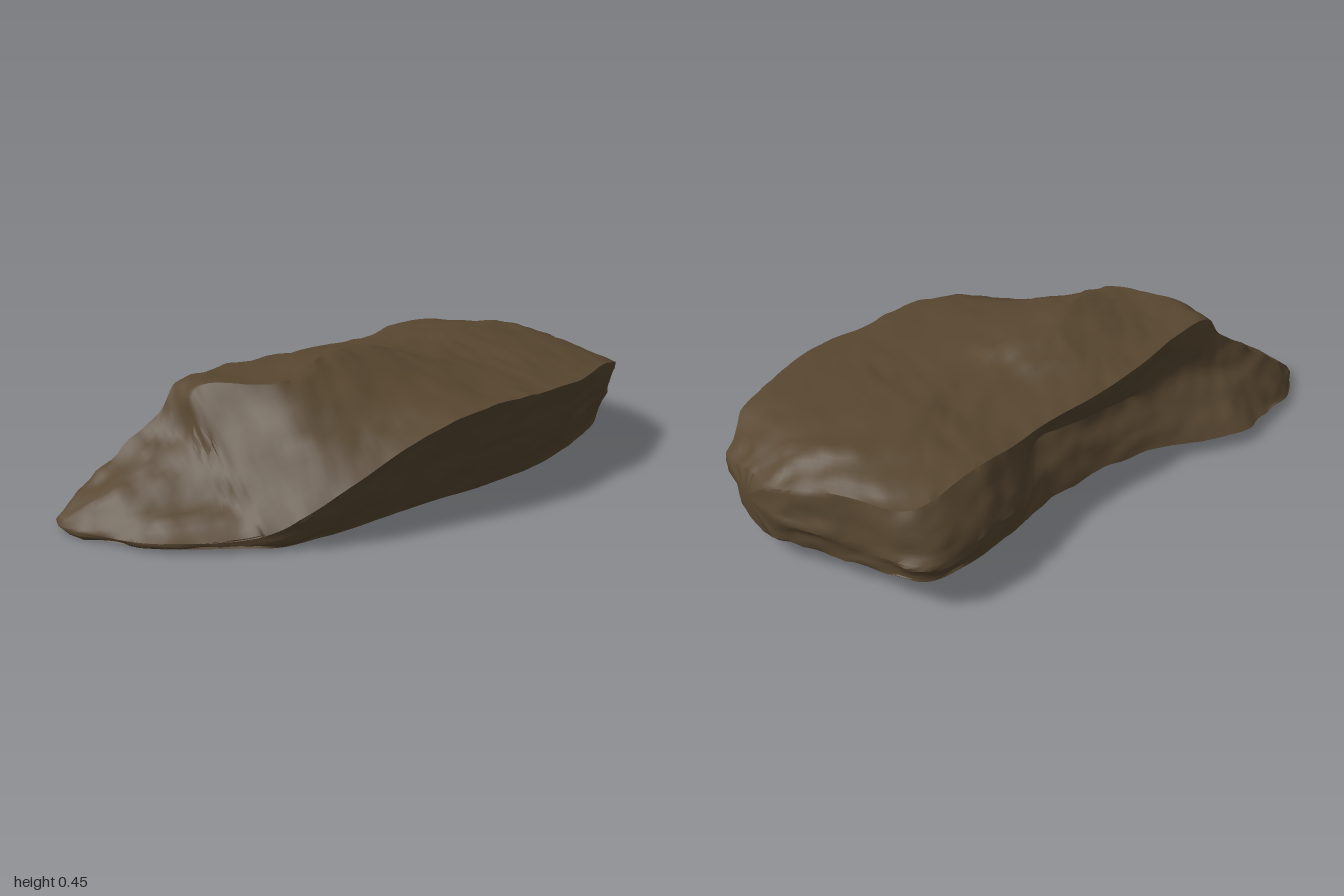
import * as THREE from 'three';
import { toCreasedNormals } from 'three/addons/utils/BufferGeometryUtils.js';

// Stations along the rock, front to back
const STATIONS = [0.98, 0.86, 0.65, 0.56, 0.4, 0.2, 0, -0.2, -0.36, -0.52, -0.74, -0.86, -0.97];

// Lengthwise edges of the rock: x, y at each station
const BASE_LEFT = [
  [-0.27, 0.015], [-0.37, 0.03], [-0.43, 0.045], [-0.45, 0.05], [-0.41, 0.05], [-0.35, 0.06], [-0.34, 0.06],
  [-0.36, 0.07], [-0.43, 0.09], [-0.49, 0.11], [-0.5, 0.11], [-0.25, 0.08], [-0.04, 0.09]];
const WALL_LEFT = [
  [-0.27, 0.03], [-0.33, 0.07], [-0.3, 0.17], [-0.28, 0.2], [-0.265, 0.22], [-0.26, 0.22], [-0.26, 0.22],
  [-0.28, 0.22], [-0.44, 0.18], [-0.5, 0.19], [-0.51, 0.17], [-0.27, 0.15], [-0.06, 0.17]];
const RIDGE_LEFT = [
  [-0.25, 0.045], [-0.26, 0.13], [-0.235, 0.29], [-0.235, 0.375], [-0.265, 0.39], [-0.305, 0.365], [-0.33, 0.345],
  [-0.34, 0.33], [-0.37, 0.325], [-0.4, 0.33], [-0.42, 0.31], [-0.2, 0.29], [0, 0.24]];
const CREST = [
  [-0.22, 0.045], [-0.13, 0.125], [-0.05, 0.22], [-0.12, 0.39], [0.08, 0.42], [0.03, 0.45], [-0.03, 0.435],
  [0, 0.385], [-0.02, 0.37], [-0.1, 0.37], [-0.1, 0.355], [0.03, 0.325], [0.1, 0.25]];
const RIM_RIGHT = [
  [-0.18, 0.025], [0.07, 0.035], [0.26, 0.055], [0.32, 0.085], [0.405, 0.19], [0.455, 0.29], [0.49, 0.34],
  [0.5, 0.345], [0.485, 0.335], [0.475, 0.33], [0.39, 0.315], [0.34, 0.28], [0.24, 0.21]];
const BASE_RIGHT = [
  [-0.19, 0.01], [0.04, 0.01], [0.22, 0.005], [0.28, 0.005], [0.32, 0.01], [0.34, 0.015], [0.35, 0.02],
  [0.36, 0.01], [0.36, 0.01], [0.35, 0.01], [0.31, 0.03], [0.27, 0.04], [0.2, 0.06]];

const ALONG = 120;
const PER_EDGE = 9;

// Seeded smooth value noise in -1..1
function hash(x, y, z) {
  const s = Math.sin(x * 127.1 + y * 311.7 + z * 74.7) * 43758.5453;
  return (s - Math.floor(s)) * 2 - 1;
}
function noise(x, y, z) {
  const cell = [x, y, z].map(Math.floor);
  const [u, v, w] = [x, y, z].map((p, i) => THREE.MathUtils.smoothstep(p - cell[i], 0, 1));
  let sum = 0;
  for (let i = 0; i < 8; i++) {
    const [a, b, c] = [i & 1, (i >> 1) & 1, i >> 2];
    sum += hash(cell[0] + a, cell[1] + b, cell[2] + c)
      * (a ? u : 1 - u) * (b ? v : 1 - v) * (c ? w : 1 - w);
  }
  return sum;
}

// Smooth rails in order around the section
function makeRails() {
  // Undercut right flank and the low line of the underside follow their neighbours
  const flank = RIM_RIGHT.map(([x, y], i) => [
    THREE.MathUtils.lerp(x, BASE_RIGHT[i][0], 0.55) + 0.01,
    THREE.MathUtils.lerp(y, BASE_RIGHT[i][1], 0.5)]);
  const keel = BASE_LEFT.map(([x], i) => [
    THREE.MathUtils.lerp(x, BASE_RIGHT[i][0], 0.3), BASE_RIGHT[i][1] + 0.008]);
  return [BASE_LEFT, WALL_LEFT, RIDGE_LEFT, CREST, RIM_RIGHT, flank, BASE_RIGHT, keel].map(rail =>
    new THREE.CatmullRomCurve3(rail.map(([x, y], i) => new THREE.Vector3(x, y, STATIONS[i]))));
}

function rockGeometry() {
  const rails = makeRails();
  const ring = rails.length * PER_EDGE;
  const pos = [];
  const index = [];
  for (let i = 0; i <= ALONG; i++) {
    const corner = rails.map(r => r.getPoint(i / ALONG));
    corner.forEach((p, k) => {
      const q = corner[(k + 1) % corner.length];
      for (let s = 0; s < PER_EDGE; s++) pos.push(...p.clone().lerp(q, s / PER_EDGE).toArray());
    });
  }
  for (let i = 0; i < ALONG; i++) {
    for (let j = 0; j < ring; j++) {
      const a = i * ring + j, b = i * ring + (j + 1) % ring;
      index.push(a, b, a + ring, b, b + ring, a + ring);
    }
  }
  // Blunt end caps
  const front = pos.length / 3, back = front + 1, last = ALONG * ring;
  pos.push(-0.23, 0.025, 0.995, 0.09, 0.17, -0.995);
  for (let j = 0; j < ring; j++) {
    const n = (j + 1) % ring;
    index.push(front, n, j, back, last + j, last + n);
  }
  const geo = new THREE.BufferGeometry();
  geo.setAttribute('position', new THREE.Float32BufferAttribute(pos, 3));
  geo.setIndex(index);
  geo.computeVertexNormals();

  // Weathered lumps, slanted strata and grit, gentler on the underside
  const p = geo.attributes.position, nrm = geo.attributes.normal;
  const v = new THREE.Vector3(), n = new THREE.Vector3();
  for (let i = 0; i < p.count; i++) {
    v.fromBufferAttribute(p, i);
    n.fromBufferAttribute(nrm, i);
    const lumps = noise(v.x * 6, v.y * 8, v.z * 5) * 0.008;
    const strata = (0.3 - Math.abs(noise(v.x * 9 + v.z * 5, v.y * 16, v.z * 3 + 7))) * 0.014;
    const grit = noise(v.x * 24, v.y * 28, v.z * 20) * 0.005;
    v.addScaledVector(n, (lumps + strata + grit) * (n.y < -0.85 ? 0.3 : 1));
    p.setXYZ(i, v.x, Math.max(v.y, 0), v.z);
  }
  return toCreasedNormals(geo, 0.7);
}

export function createModel() {
  const stone = new THREE.MeshStandardMaterial({ color: 0x574630 });
  stone.name = 'brown stone';
  const rock = new THREE.Mesh(rockGeometry(), stone);
  rock.name = 'rock';
  const group = new THREE.Group();
  group.name = 'boulder';
  group.add(rock);
  return group;
}
